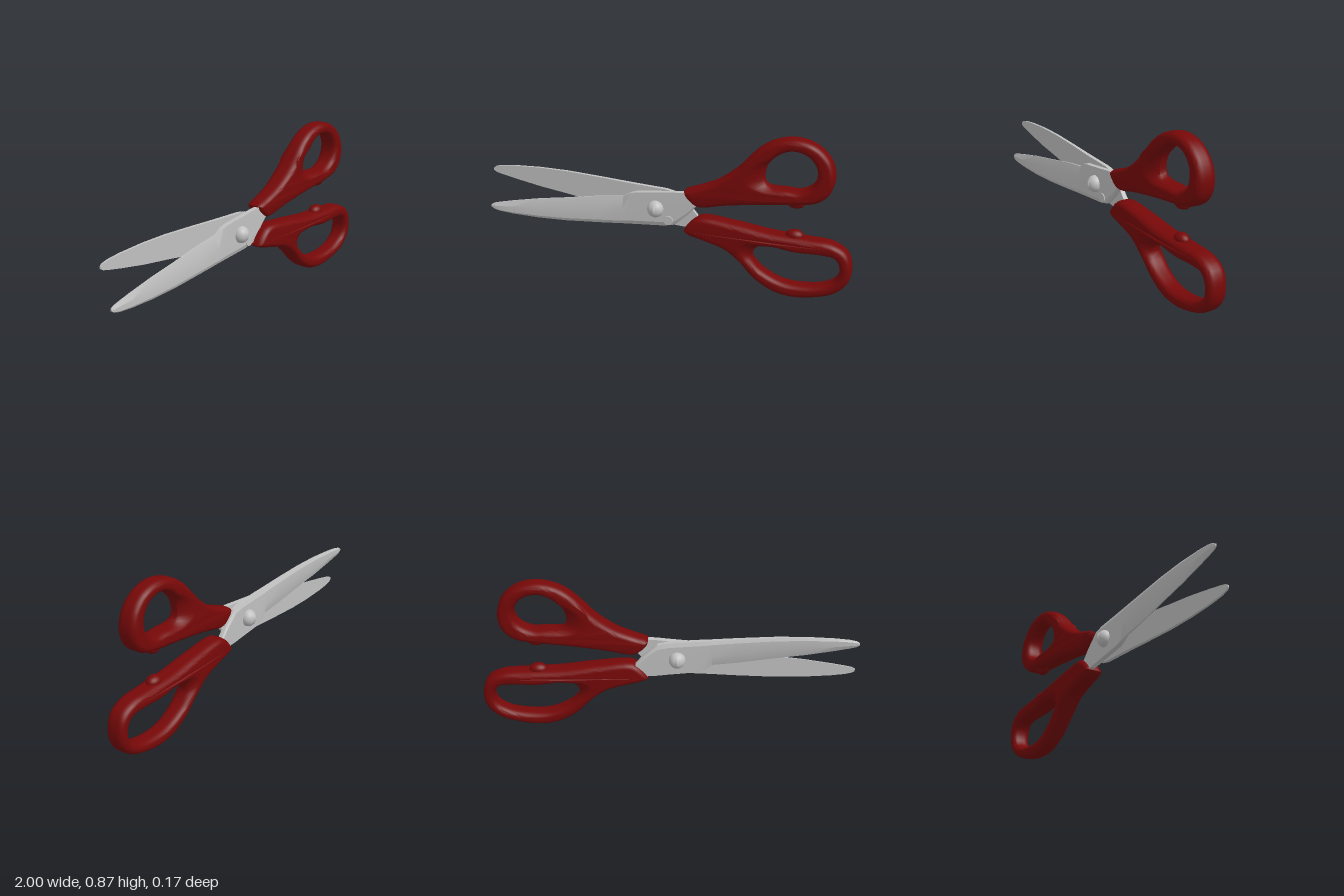
import * as THREE from 'three';
import { toCreasedNormals } from 'three/addons/utils/BufferGeometryUtils.js';

const red = new THREE.MeshStandardMaterial({ color: 0x760808 });
red.name = 'handle red';
const steel = new THREE.MeshStandardMaterial({ color: 0xc0c0c0 });
steel.name = 'steel';

function mesh(name, geometry, material, x = 0, y = 0, z = 0) {
  const m = new THREE.Mesh(geometry, material);
  m.name = name;
  m.position.set(x, y, z);
  return m;
}

// Smooth closed outline through a few [x, y] points
function smoothLoop(points, count) {
  const curve = new THREE.CatmullRomCurve3(
    points.map(([x, y]) => new THREE.Vector3(x, y, 0)), true, 'centripetal');
  return curve.getSpacedPoints(count).slice(0, count).map(p => new THREE.Vector2(p.x, p.y));
}

// Rounded grip with a finger hole; dish = where the web slopes into the hole
function handleGeometry(outline, hole, dish, swellY) {
  const shape = new THREE.Shape(smoothLoop(outline, 84));
  // The hole must wind opposite to the outline
  shape.holes.push(new THREE.Path(smoothLoop(hole, 52).reverse()));
  const depth = 0.03, half = 0.05;
  const geo = new THREE.ExtrudeGeometry(shape, {
    depth, bevelThickness: 0.035, bevelSize: 0.027, bevelOffset: -0.027, bevelSegments: 6
  });
  geo.translate(0, 0, -depth / 2);
  const p = geo.attributes.position;
  for (let i = 0; i < p.count; i++) {
    let x = p.getX(i), y = p.getY(i);
    const z = p.getZ(i);
    const d = Math.hypot(x - dish.x, y - dish.y) / dish.r;
    const swell = 1 + 0.26 * Math.exp(-(((x - 0.52) / 0.36) ** 2) - ((y - swellY) / 0.14) ** 2);
    if (d < 1) {
      const k = (1 - d * d) * (z / half) ** 2;
      x += dish.dx * k;
      y += dish.dy * k;
    }
    p.setXYZ(i, x, y, z * swell);
  }
  return toCreasedNormals(geo, 0.7);
}

// Blade and tang lofted along x: flat inside, ridged outside, thin cutting edge on top
function bladeGeometry() {
  // x, bottom y, top y, thickness, cutting edge thickness
  const stations = [
    [-1.0, 0.315, 0.328, 0.008, 0.006],
    [-0.985, 0.305, 0.338, 0.013, 0.006],
    [-0.95, 0.297, 0.347, 0.016, 0.006],
    [-0.87, 0.289, 0.364, 0.018, 0.006],
    [-0.72, 0.283, 0.392, 0.02, 0.006],
    [-0.56, 0.285, 0.415, 0.022, 0.006],
    [-0.36, 0.297, 0.447, 0.025, 0.007],
    [-0.23, 0.307, 0.461, 0.029, 0.01],
    [-0.185, 0.31, 0.488, 0.03, 0.026],
    [-0.15, 0.312, 0.498, 0.03, 0.028],
    [0.0, 0.322, 0.513, 0.03, 0.028],
    [0.06, 0.335, 0.52, 0.03, 0.028],
    [0.13, 0.4, 0.525, 0.03, 0.028],
    [0.18, 0.46, 0.53, 0.03, 0.028],
    [0.26, 0.485, 0.56, 0.03, 0.028]
  ];
  const pos = [], idx = [], n = 6;
  for (const [x, b, t, th, edge] of stations) {
    const z = 0.004 + 0.026 * Math.max(0, -x - 0.15);
    const h = t - b;
    const ring = [
      [b, 0], [b, th * 0.7], [b + h * 0.12, th],
      [b + h * 0.58, th], [t, edge], [t, 0]
    ];
    for (const [y, dz] of ring) pos.push(x, y, z + dz);
  }
  const last = (stations.length - 1) * n;
  for (let i = 0; i < last; i += n) {
    for (let j = 0; j < n; j++) {
      const k = (j + 1) % n;
      idx.push(i + j, i + n + j, i + n + k, i + j, i + n + k, i + k);
    }
  }
  for (let j = 1; j < n - 1; j++) {
    idx.push(0, j, j + 1, last, last + j + 1, last + j);
  }
  const geo = new THREE.BufferGeometry();
  geo.setAttribute('position', new THREE.Float32BufferAttribute(pos, 3));
  geo.setIndex(idx);
  return toCreasedNormals(geo, 0.35);
}

// One blade with its half of the pivot screw
function bladeHalf(name) {
  const g = new THREE.Group();
  g.name = name;
  g.add(mesh('blade', bladeGeometry(), steel));
  const dome = new THREE.SphereGeometry(1, 28, 18).scale(0.044, 0.046, 0.043);
  g.add(mesh('screwDome', dome, steel, -0.045, 0.418, 0.036));
  const ridge = new THREE.SphereGeometry(1, 20, 14).scale(0.018, 0.04, 0.047);
  g.add(mesh('screwRidge', ridge, steel, -0.045, 0.418, 0.037));
  return g;
}

export function createModel() {
  const model = new THREE.Group();
  model.name = 'scissors';

  // Crossing blades: the rear one is the front one turned half round the x axis
  const front = bladeHalf('frontBlade');
  const rear = bladeHalf('rearBlade');
  rear.rotation.x = Math.PI;
  rear.position.y = 0.84;
  model.add(front, rear);

  // Pivot pin joining the blades, and the stop disc beside it
  const pin = new THREE.CylinderGeometry(0.03, 0.03, 0.06, 24).rotateX(Math.PI / 2);
  model.add(mesh('pivotPin', pin, steel, -0.045, 0.42, 0));
  const disc = new THREE.CylinderGeometry(0.025, 0.028, 0.008, 24).rotateX(Math.PI / 2);
  model.add(mesh('stopDisc', disc, steel, 0.025, 0.358, 0.034));

  // Upper handle with the round thumb hole
  model.add(mesh('upperHandle', handleGeometry([
    [0.107, 0.53], [0.17, 0.556], [0.28, 0.604], [0.385, 0.684], [0.49, 0.797],
    [0.572, 0.85], [0.68, 0.872], [0.786, 0.845], [0.86, 0.775], [0.886, 0.684],
    [0.866, 0.6], [0.813, 0.55], [0.743, 0.53], [0.545, 0.508], [0.33, 0.476],
    [0.205, 0.45], [0.17, 0.455], [0.118, 0.5]
  ], [
    [0.54, 0.625], [0.54, 0.7], [0.578, 0.765], [0.663, 0.807], [0.75, 0.786],
    [0.797, 0.716], [0.78, 0.64], [0.717, 0.6], [0.64, 0.6], [0.572, 0.604]
  ], { x: 0.52, y: 0.655, r: 0.11, dx: -0.08, dy: -0.01 }, 0.63), red));

  // Lower handle with the long finger hole
  model.add(mesh('lowerHandle', handleGeometry([
    [0.107, 0.305], [0.16, 0.375], [0.2, 0.395], [0.385, 0.38], [0.572, 0.353],
    [0.76, 0.342], [0.893, 0.33], [0.973, 0.283], [0.999, 0.193], [0.984, 0.118],
    [0.92, 0.053], [0.813, 0.016], [0.706, 0.003], [0.6, 0.02], [0.49, 0.085],
    [0.41, 0.17], [0.33, 0.23], [0.225, 0.262], [0.128, 0.289]
  ], [
    [0.48, 0.203], [0.508, 0.262], [0.572, 0.278], [0.706, 0.262], [0.84, 0.262],
    [0.91, 0.25], [0.936, 0.203], [0.925, 0.139], [0.866, 0.096], [0.76, 0.075],
    [0.65, 0.08], [0.572, 0.11], [0.508, 0.155]
  ], { x: 0.47, y: 0.235, r: 0.08, dx: -0.05, dy: 0.025 }, 0.27), red));

  // Stop bumps where the handles meet
  for (const [name, y] of [['upperBump', 0.53], ['lowerBump', 0.345]]) {
    const bump = new THREE.SphereGeometry(1, 24, 16).scale(0.048, 0.033, 0.036);
    model.add(mesh(name, bump, red, 0.695, y, 0));
  }
  return model;
}
